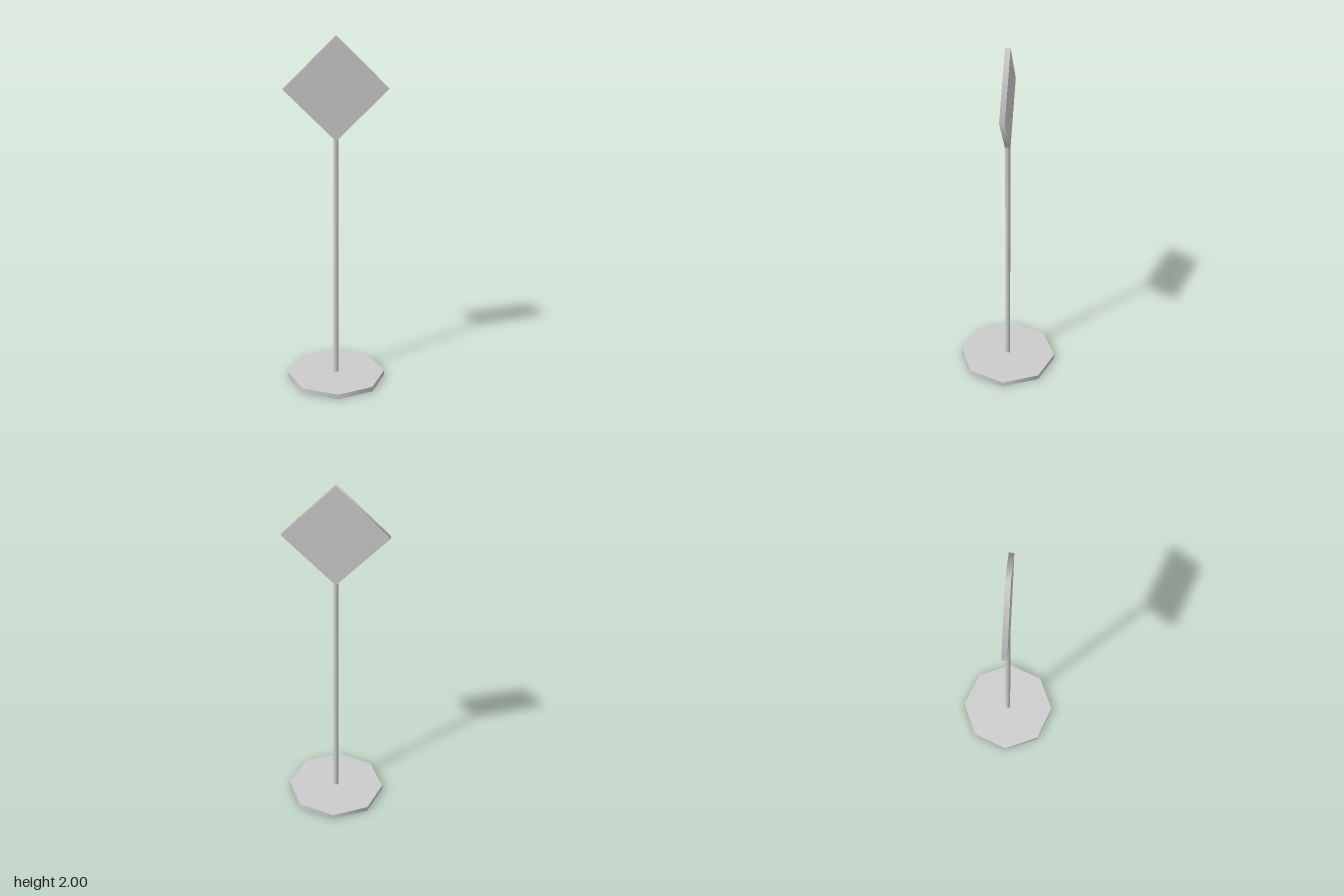
import * as THREE from 'three';

const R = 2 / 7;      // shared radius of base and sign
const T = R * 0.1;    // shared thickness
const POLE_TOP = R * 5.05;

export function createModel() {
  const group = new THREE.Group();
  const material = new THREE.MeshStandardMaterial({ color: 0xcccccc });

  // Adds an upright prism with smooth side normals
  const addPrism = (name, radius, height, sides, y) => {
    const mesh = new THREE.Mesh(new THREE.CylinderGeometry(radius, radius, height, sides), material);
    mesh.name = name;
    mesh.position.y = y;
    group.add(mesh);
    return mesh;
  };

  // Octagonal foot plate
  addPrism('base', R, T, 8, T / 2);

  // Thin post rising from inside the base to the sign's lower corner
  addPrism('pole', T / 2, POLE_TOP - T / 2, 8, (POLE_TOP + T / 2) / 2);

  // Diamond plate: a four-sided disc turned to face the front
  addPrism('signPlate', R, T, 4, 2 - R).rotation.x = Math.PI / 2;

  return group;
}
